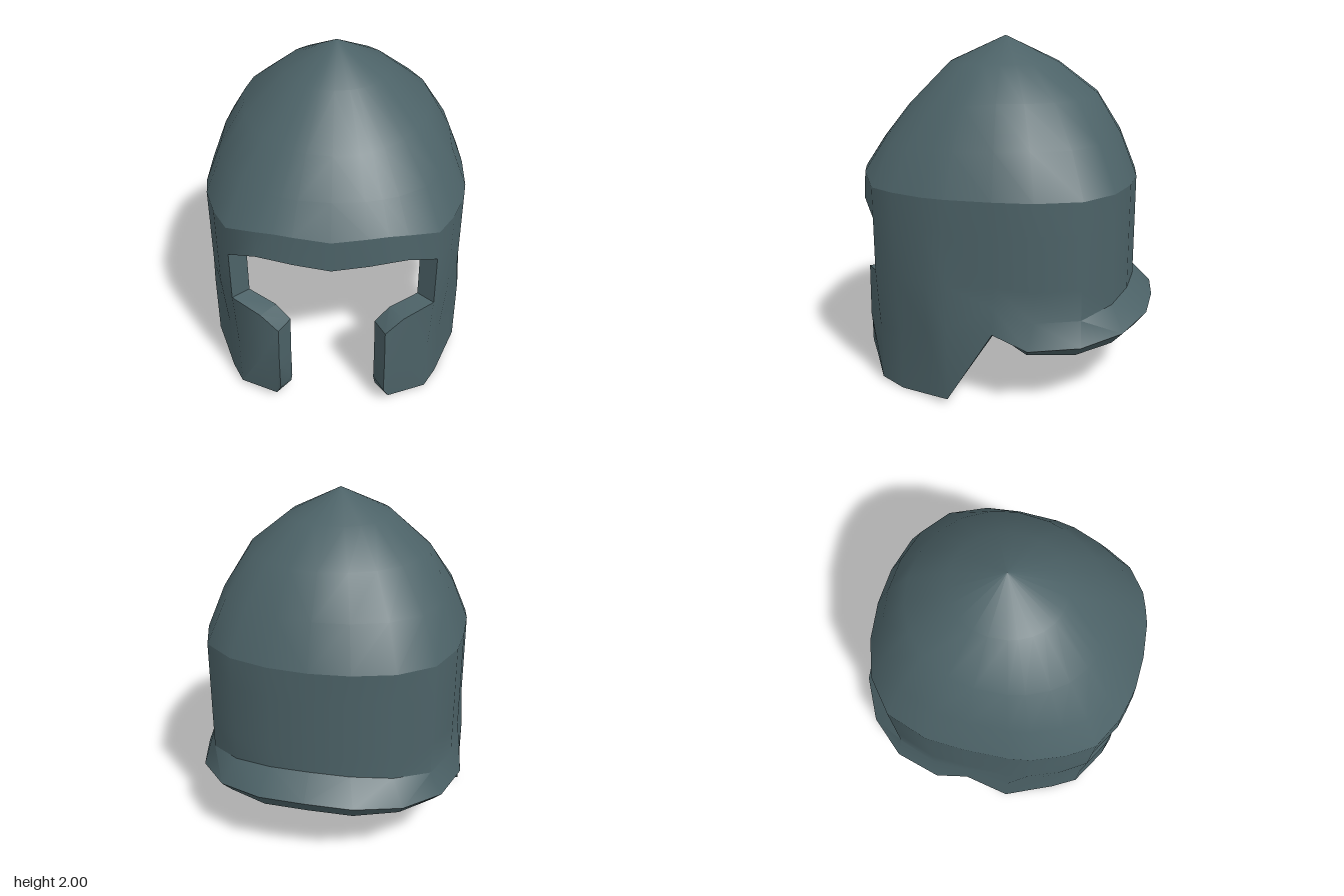
import * as THREE from 'three';
import { toCreasedNormals } from 'three/addons/utils/BufferGeometryUtils.js';

const WALL = 0.11;          // shell thickness
const HALF = 13;            // stations from brow centre to nape centre
const COUNT = HALF * 2;     // stations around the whole helmet
const AXIS_Z = 0.04;        // z of the crown point

// Horizontal outline of the left half [x, z], front to back
const ring = [
  [0, 0.86], [0.2, 0.845], [0.3, 0.82], [0.4, 0.79], [0.57, 0.69], [0.66, 0.54], [0.73, 0.35],
  [0.75, 0.22], [0.755, -0.04], [0.74, -0.26], [0.65, -0.51], [0.46, -0.66], [0.23, -0.73], [0, -0.75],
];
// Crown levels [height, outline scale, roundness, dip towards the front]
const crown = [[2, 0, 0, 0], [1.85, 0.4, 0.9, 0], [1.67, 0.7, 0.8, 0.07], [1.44, 0.875, 0.2, 0.03]];
// Heights of the wall rows at each station
const walls = [
  [1.23, 1.25, 1.25, 1.24, 1.19, 1.19, 1.19, 1.19, 1.19, 1.19, 1.19, 1.19, 1.19, 1.19], // foot of crown
  [1.055, 1.08, 1.085, 1.085, 1.01, 1.01, 1.01, 1.01, 1.01, 1.01, 1.01, 1.01, 1.01, 1.01], // brow edge
  [0.7, 0.7, 0.57, 0.66, 0.7, 0.7, 0.7, 0.7, 0.72, 0.7, 0.7, 0.7, 0.7, 0.7], // top of cheek guard
  [0.35, 0.35, 0.35, 0.35, 0.35, 0.37, 0.4, 0.45, 0.6, 0.52, 0.52, 0.55, 0.57, 0.58], // neck crease
  [0.1, 0.1, 0.13, 0.05, 0.02, 0, 0.017, 0.03, 0.45, 0.38, 0.39, 0.41, 0.44, 0.45], // lower edge
];
// Bulge of the lower cheek guards, stations 0 to 7
const cheekBulge = [0, 0, 0.01, 0.005, -0.02, -0.03, -0.02, 0.015];
// Flared neck guard edge, stations 8 to 13: [x, z, inner height]
const lip = [
  [0.775, -0.04, 0.43], [0.8, -0.24, 0.33], [0.72, -0.52, 0.32],
  [0.53, -0.73, 0.335], [0.27, -0.85, 0.35], [0, -0.87, 0.36],
];
const TOP = crown.length, BROW = TOP + 1, CHEEK = TOP + 2, NECK = TOP + 3, LOWER = TOP + 4;

// Outward horizontal normal of the outline at a station
function outward(m) {
  if (m === 0) return [0, 1];
  if (m === HALF) return [0, -1];
  const dx = ring[m + 1][0] - ring[m - 1][0], dz = ring[m + 1][1] - ring[m - 1][1];
  const len = Math.hypot(dx, dz);
  return [-dz / len, dx / len];
}

// Crown point: the outline shrinks and turns elliptical towards the tip
function crownPoint(m, row, push) {
  const [level, scale, round, dip] = crown[row];
  const [x, z] = ring[m], [nx, nz] = outward(m);
  const ellipse = Math.hypot(x / 0.755, (z - AXIS_Z) / (z > AXIS_Z ? 0.82 : 0.79));
  const s = scale / (1 + round * (ellipse - 1));
  const y = level - dip * Math.max(0, z) / 0.86 + push * (1 - scale);
  return [(x + nx * push) * s, y, AXIS_Z + (z + nz * push - AXIS_Z) * s];
}

// Wall point, with cheek guards in front and the flared neck guard behind
function wallPoint(m, row, inner) {
  const [nx, nz] = outward(m);
  let [x, z] = ring[m];
  let y = walls[row - TOP][m];
  let push = inner ? -WALL : 0;
  if (m >= 8) {
    if (row === NECK && inner && m > 8) push = -0.05;
    if (row === LOWER) {
      [x, z] = lip[m - 8];
      if (inner) { push = -0.07; y = lip[m - 8][2]; }
    }
  } else {
    if (row === BROW && m < 4) push += 0.01;
    if (row >= NECK) push += cheekBulge[m];
    if (row === LOWER && m === 3) x -= 0.07;
    // Rims facing the opening lean towards the middle
    if (inner && m === 4) x -= 0.012;
    if (inner && row >= CHEEK && (m === 2 || m === 3)) x -= 0.03;
  }
  return [x + nx * push, y, z + nz * push];
}

function point(id, inner) {
  const i = id % COUNT, row = Math.floor(id / COUNT);
  const m = i <= HALF ? i : COUNT - i;
  const [x, y, z] = row < TOP ? crownPoint(m, row, inner ? -WALL : 0) : wallPoint(m, row, inner);
  return [i <= HALF ? x : -x, y, z];
}

// Cells left out for the face opening and the gap between the cheek guards
function isOpen(i, row) {
  const m = Math.min(i, COUNT - 1 - i);
  return (row === BROW && m < 4) || (row > BROW && m < 2);
}

// Outer and inner faces between two rows, with a rim along the free edges
function shellGeometry(first, last, hasRim) {
  const positions = [];
  const edges = new Map();
  const vertex = (i, row) => (row === 0 ? 0 : row * COUNT + (i % COUNT));
  const tri = (a, b, c) => positions.push(...a, ...b, ...c);
  const face = (a, b, c) => {
    if (a === b || b === c || c === a) return;
    tri(point(a, false), point(b, false), point(c, false));
    tri(point(a, true), point(c, true), point(b, true));
    for (const [p, q] of [[a, b], [b, c], [c, a]]) {
      if (!edges.delete(q + '_' + p)) edges.set(p + '_' + q, [p, q]);
    }
  };
  for (let row = first; row < last; row++) {
    for (let i = 0; i < COUNT; i++) {
      if (isOpen(i, row)) continue;
      const a = vertex(i, row), b = vertex(i, row + 1), c = vertex(i + 1, row + 1), d = vertex(i + 1, row);
      // Mirror the diagonals between the two halves
      if (i < HALF) { face(a, b, c); face(a, c, d); }
      else { face(a, b, d); face(b, c, d); }
    }
  }
  for (const [p, q] of hasRim ? edges.values() : []) {
    // The seam with the crown stays open
    if (Math.max(p, q) < (first + 1) * COUNT) continue;
    const op = point(p, false), oq = point(q, false), ip = point(p, true), iq = point(q, true);
    tri(oq, op, ip);
    tri(oq, ip, iq);
  }
  const geometry = new THREE.BufferGeometry();
  geometry.setAttribute('position', new THREE.Float32BufferAttribute(positions, 3));
  return toCreasedNormals(geometry, 0.6);
}

export function createModel() {
  const steel = new THREE.MeshStandardMaterial({ color: 0x4c6267 });
  steel.name = 'blue grey steel';
  const group = new THREE.Group();
  group.name = 'helmet';
  const add = (name, geometry) => {
    const mesh = new THREE.Mesh(geometry, steel);
    mesh.name = name;
    group.add(mesh);
  };
  add('crown', shellGeometry(0, TOP, false));
  add('wallWithCheekAndNeckGuards', shellGeometry(TOP, LOWER, true));
  return group;
}
